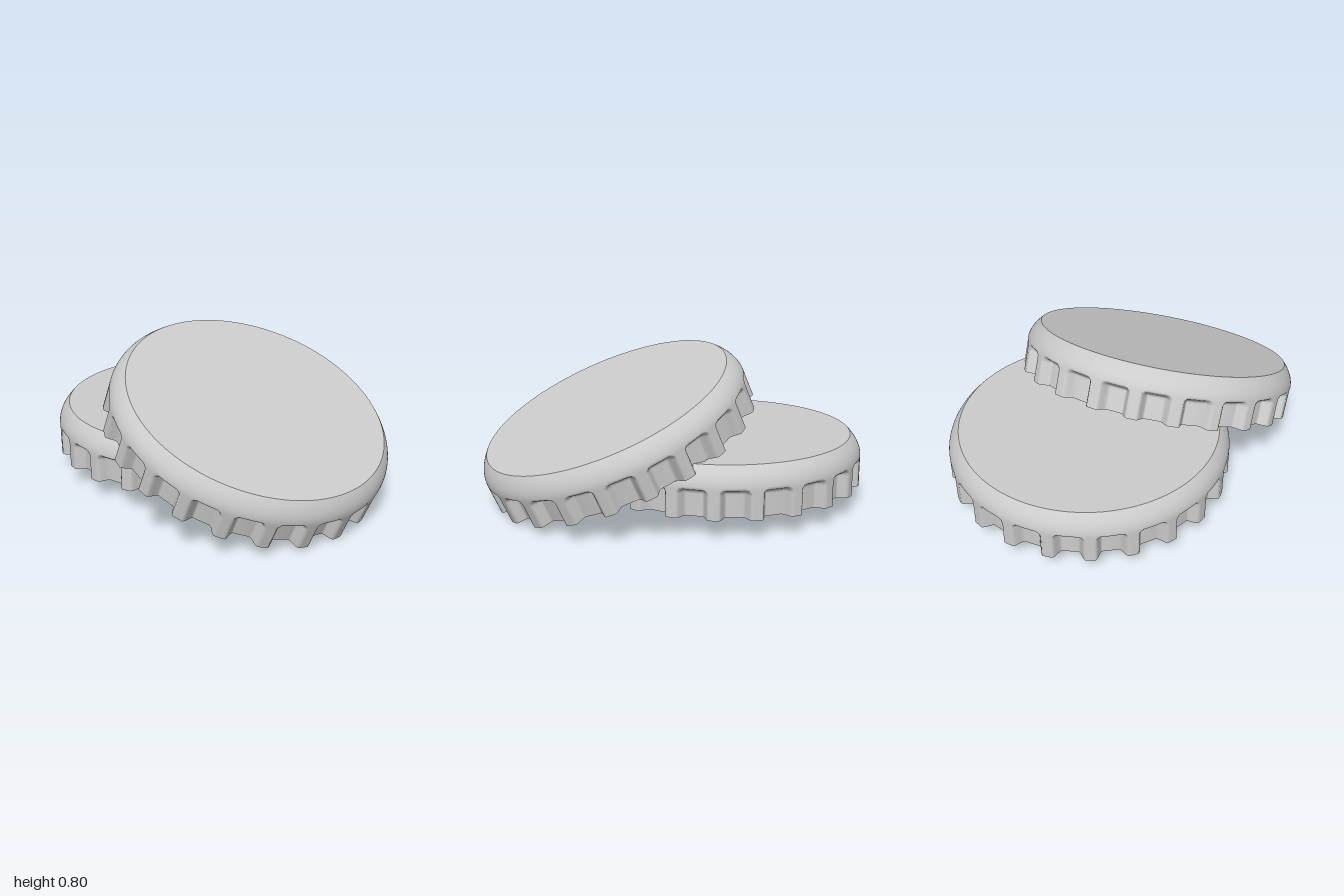
import * as THREE from 'three';
import { ParametricGeometry } from 'three/addons/geometries/ParametricGeometry.js';

const RADIUS = 0.732, TOP_RADIUS = 0.675, HEIGHT = 0.262, SHOULDER = 0.15;
const FLUTES = 22, DEPTH = 0.055;
const PITCH = (Math.PI * 2) / FLUTES;

const material = new THREE.MeshStandardMaterial({ color: 0xcccccc, side: THREE.DoubleSide });

// Inward push of a flute: a round-cornered window, open at the bottom rim
function fluteDepth(angle, h) {
  const a = angle - Math.round(angle / PITCH) * PITCH;
  const corner = 0.035;
  const dx = Math.abs(a) * RADIUS - (0.08 - corner);
  const dy = h - (0.157 - corner);
  const dist = Math.hypot(Math.max(dx, 0), Math.max(dy, 0)) + Math.min(Math.max(dx, dy), 0) - corner;
  return DEPTH * THREE.MathUtils.smoothstep(-dist, 0, 0.036);
}

// Straight skirt below, curved shoulder above
function skirtRadius(h) {
  const t = Math.max(0, (h - SHOULDER) / (HEIGHT - SHOULDER));
  return RADIUS - (RADIUS - TOP_RADIUS) * t * t;
}

function createCap(name) {
  const cap = new THREE.Group();
  cap.name = name;

  // Fluted skirt and shoulder
  const skirtGeometry = new ParametricGeometry((u, v, p) => {
    const angle = u * Math.PI * 2, h = v * HEIGHT;
    const r = skirtRadius(h) - fluteDepth(angle, h);
    p.set(Math.sin(angle) * r, h, Math.cos(angle) * r);
  }, FLUTES * 24, 32);
  const skirt = new THREE.Mesh(skirtGeometry, material);
  skirt.name = 'flutedSkirt';

  // Flat top disc
  const discGeometry = new THREE.CircleGeometry(TOP_RADIUS, FLUTES * 24);
  discGeometry.rotateX(-Math.PI / 2);
  const disc = new THREE.Mesh(discGeometry, material);
  disc.name = 'topDisc';
  disc.position.y = HEIGHT;

  cap.add(skirt, disc);
  return cap;
}

export function createModel() {
  const model = new THREE.Group();
  model.name = 'bottleCaps';
  const up = new THREE.Vector3(0, 1, 0);

  // Cap lying flat
  const flatCap = createCap('flatCap');
  flatCap.position.set(-0.268, 0.105, -0.036);
  flatCap.rotation.y = THREE.MathUtils.degToRad(2.2);

  // Cap leaning on the flat one
  const leaningCap = createCap('leaningCap');
  leaningCap.position.set(0.262, 0.296, 0.033);
  const axis = new THREE.Vector3(0.397, 0.916, -0.051).normalize();
  const spin = new THREE.Quaternion().setFromAxisAngle(up, THREE.MathUtils.degToRad(4));
  leaningCap.quaternion.setFromUnitVectors(up, axis).multiply(spin);

  model.add(flatCap, leaningCap);
  return model;
}
